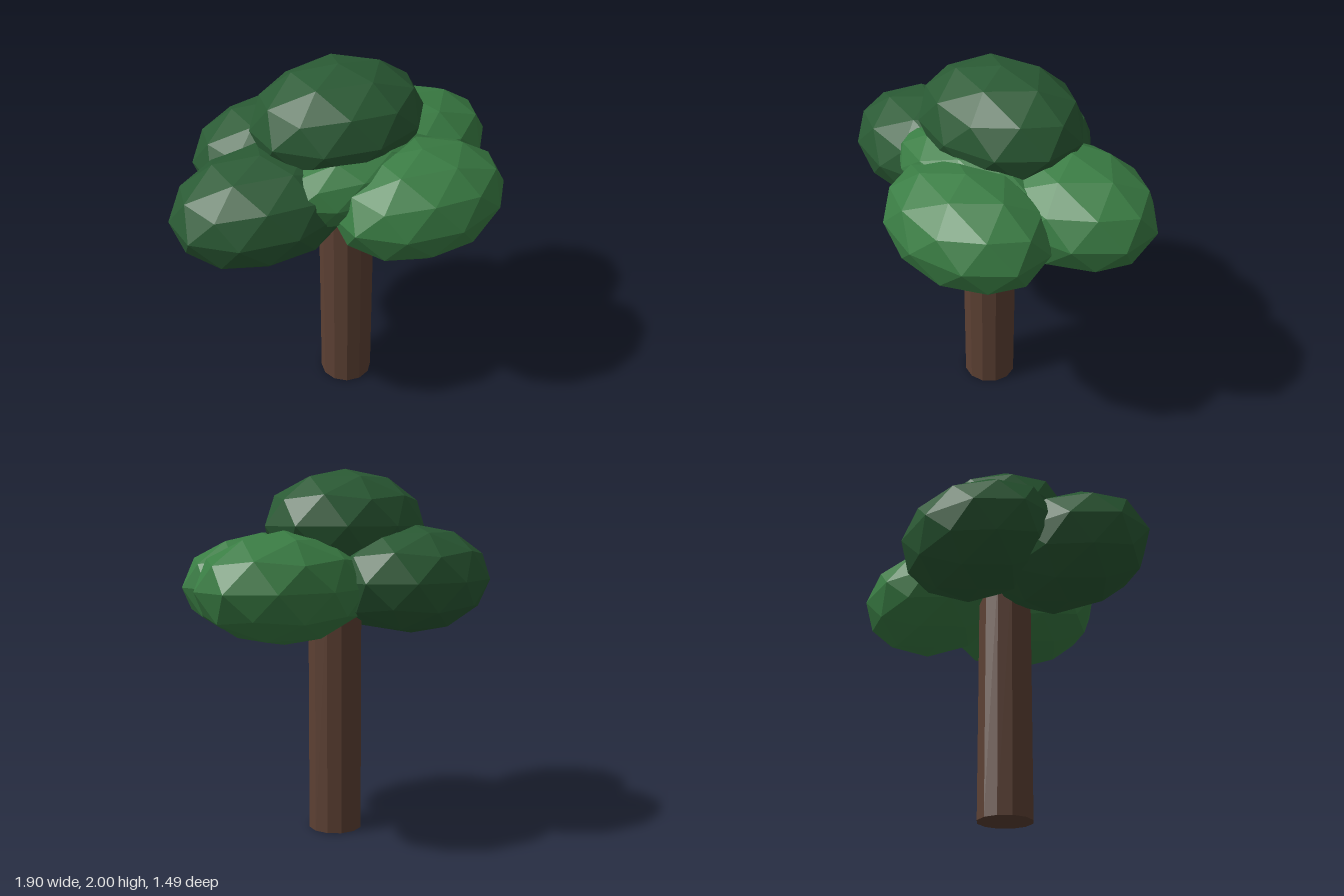
import * as THREE from 'three';

const material = (color) => new THREE.MeshStandardMaterial({ color, flatShading: true });

// Faceted ball with one corner pointing straight up
function clumpGeometry() {
  const geometry = new THREE.IcosahedronGeometry(1, 1);
  geometry.rotateZ(-Math.atan(2 / (1 + Math.sqrt(5))));
  return geometry;
}

export function createModel() {
  const tree = new THREE.Group();
  tree.name = 'tree';

  const bark = material(0x5c4033);
  const lightLeaf = material(0x3a7d44);
  const darkLeaf = material(0x2a5a34);

  // Trunk, reaching up into the leaves
  const trunk = new THREE.Mesh(new THREE.CylinderGeometry(0.15, 0.15, 1.4, 12), bark);
  trunk.name = 'trunk';
  trunk.position.set(0.015, 0.7, 0.02);
  tree.add(trunk);

  // Leaf clumps: name, material, centre, radii
  const clumps = [
    ['frontLeaves', lightLeaf, [0.23, 1.37, 0.38], [0.494, 0.29, 0.365]],
    ['leftLeaves', lightLeaf, [0.48, 1.39, -0.1], [0.494, 0.29, 0.38]],
    ['rightLeaves', darkLeaf, [-0.48, 1.37, 0], [0.494, 0.29, 0.37]],
    ['backLeaves', darkLeaf, [-0.18, 1.42, -0.37], [0.484, 0.29, 0.375]],
    ['topLeaves', darkLeaf, [0.015, 1.7, -0.06], [0.48, 0.3, 0.39]],
    ['middleLeaves', lightLeaf, [0.015, 1.46, 0.18], [0.49, 0.22, 0.25]],
  ];
  const geometry = clumpGeometry();
  for (const [name, leaf, centre, radii] of clumps) {
    const clump = new THREE.Mesh(geometry, leaf);
    clump.name = name;
    clump.position.set(...centre);
    clump.scale.set(...radii);
    tree.add(clump);
  }
  return tree;
}
